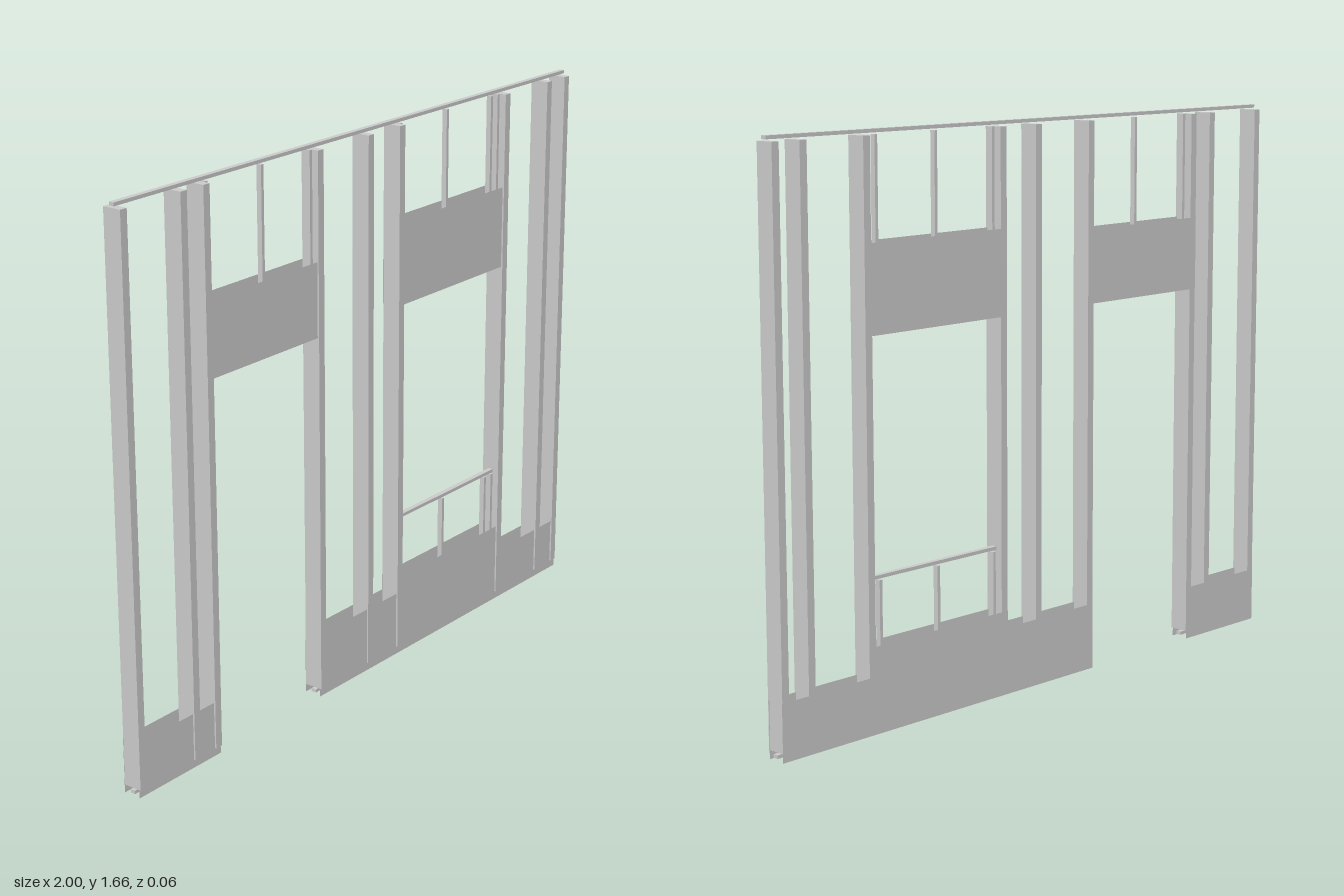
import * as THREE from 'three';

export function createModel() {
  const group = new THREE.Group();
  const grey = new THREE.MeshStandardMaterial({ color: 0xcccccc, flatShading: true });
  const thin = new THREE.MeshStandardMaterial({ color: 0xcccccc, side: THREE.DoubleSide });

  // box given by its x and y limits, centred on z = 0
  function bar(name, x0, x1, y0, y1, depth) {
    const mesh = new THREE.Mesh(new THREE.BoxGeometry(x1 - x0, y1 - y0, depth), grey);
    mesh.position.set((x0 + x1) / 2, (y0 + y1) / 2, 0);
    mesh.name = name;
    group.add(mesh);
  }

  // thin sheet on both faces of the wall, the front one just behind the stud faces
  function sheets(name, points) {
    const shape = new THREE.Shape(points.map(([x, y]) => new THREE.Vector2(x, y)));
    for (const [side, z] of [['Front', 0.024], ['Back', -0.03]]) {
      const mesh = new THREE.Mesh(new THREE.ShapeGeometry(shape), thin);
      mesh.position.z = z;
      mesh.name = name + side;
      group.add(mesh);
    }
  }

  // full-height studs
  const studs = [-0.988, -0.767, -0.68, -0.215, 0.008, 0.152, 0.671, 0.892, 0.986];
  for (const x of studs) bar('stud', x - 0.012, x + 0.012, 0.025, 1.645, 0.058);

  // slim horizontal rails: top, bottom, above both openings and under the window
  const rails = [
    ['topRail', -1, 1, 1.655], ['bottomRailLeft', -1, -0.668, 0.013],
    ['bottomRailRight', -0.227, 1, 0.013], ['doorHeadRail', -0.668, -0.227, 1.12],
    ['windowHeadRail', 0.164, 0.659, 1.12], ['windowSillRail', 0.164, 0.659, 0.437],
  ];
  for (const [name, x0, x1, y] of rails) bar(name, x0, x1, y - 0.005, y + 0.005, 0.016);

  // short slim studs over the openings and below the sill
  const short = (name, xs, y0, y1) => {
    for (const x of xs) bar(name, x - 0.005, x + 0.005, y0, y1, 0.016);
  };
  short('doorShortStud', [-0.658, -0.435, -0.232], 1.128, 1.645);
  short('windowUpperShortStud', [0.172, 0.396, 0.618, 0.652], 1.128, 1.645);
  short('windowLowerShortStud', [0.172, 0.396, 0.618, 0.654], 0.025, 0.427);

  // covering sheets
  const rect = (x0, x1, y0, y1) => [[x0, y0], [x1, y0], [x1, y1], [x0, y1]];
  sheets('leftBaseSheet', rect(-1, -0.668, 0, 0.165));
  sheets('rightBaseSheet', [
    [-0.227, 0], [1, 0], [1, 0.165], [0.682, 0.165],
    [0.682, 0.25], [0.14, 0.25], [0.14, 0.2], [-0.227, 0.2],
  ]);
  sheets('doorHeaderSheet', rect(-0.692, -0.203, 1.11, 1.33));
  sheets('windowHeaderSheet', rect(0.14, 0.683, 1.11, 1.36));

  return group;
}
